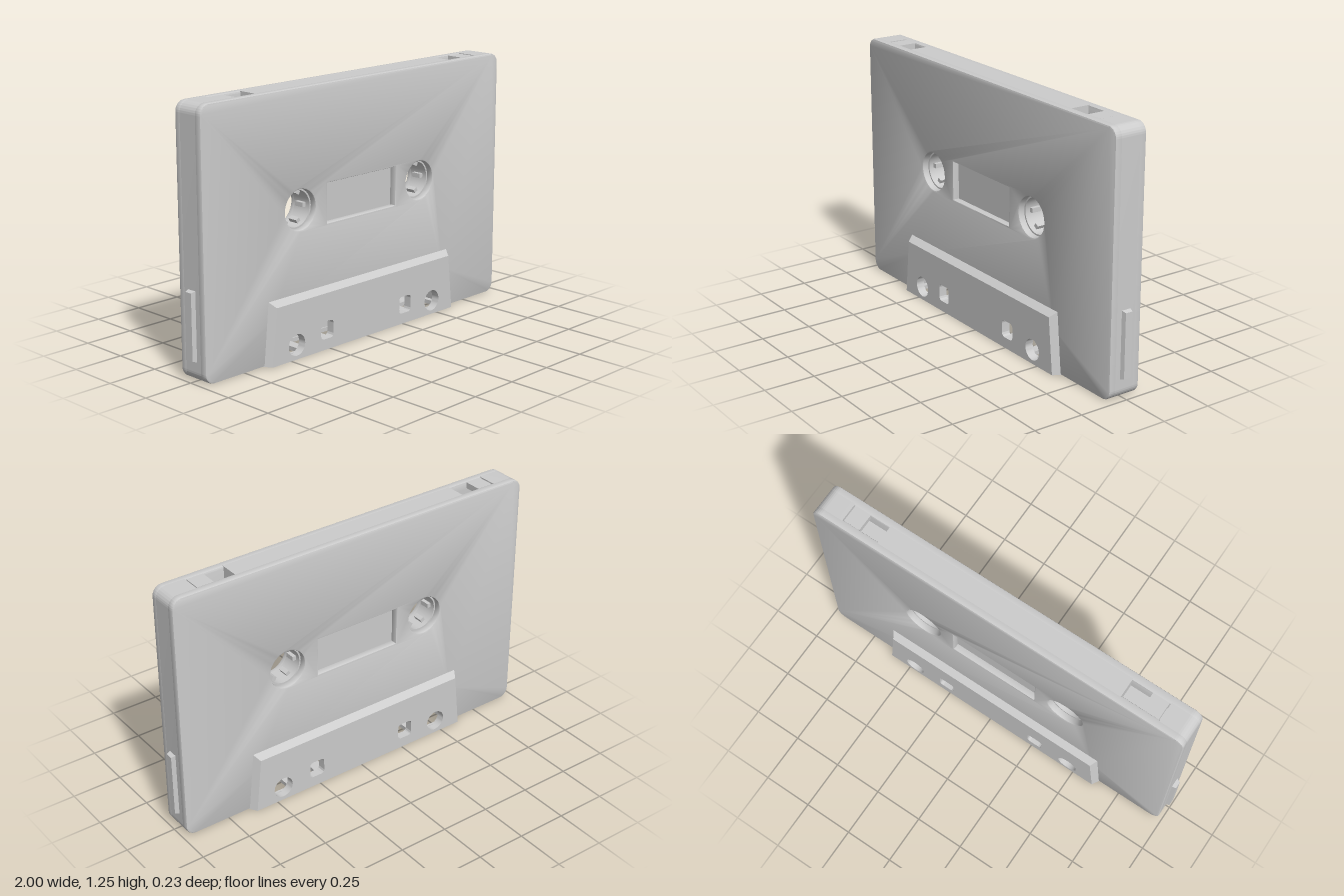
import * as THREE from 'three';
import { toCreasedNormals } from 'three/addons/utils/BufferGeometryUtils.js';

const W = 0.98, H = 1.25, HUB = { x: 0.4, y: 0.69, r: 0.095 };
const material = new THREE.MeshStandardMaterial({ color: 0xcccccc, side: THREE.DoubleSide });

function addMesh(parent, name, geometry, x = 0, y = 0, z = 0) {
  const mesh = new THREE.Mesh(geometry, material);
  mesh.name = name;
  mesh.position.set(x, y, z);
  parent.add(mesh);
  return mesh;
}

function circle(x, y, r) {
  return new THREE.Path().absarc(x, y, r, 0, Math.PI * 2, true);
}

function rect(x0, y0, x1, y1, r = 0) {
  const p = new THREE.Path();
  if (!r) return p.setFromPoints([[x0, y0], [x0, y1], [x1, y1], [x1, y0]].map(a => new THREE.Vector2(...a)));
  p.absarc(x0 + r, y0 + r, r, -Math.PI / 2, Math.PI, true);
  p.absarc(x0 + r, y1 - r, r, Math.PI, Math.PI / 2, true);
  p.absarc(x1 - r, y1 - r, r, Math.PI / 2, 0, true);
  p.absarc(x1 - r, y0 + r, r, 0, -Math.PI / 2, true);
  p.closePath();
  return p;
}

// Rounded cassette outline, notched below for the tape opening and optionally above for the tab pits
function outline(topPits) {
  const s = new THREE.Shape(), r = 0.05;
  s.moveTo(-W + r, 0);
  for (const [x, y] of [[-0.6, 0], [-0.57, 0.2], [0.57, 0.2], [0.6, 0]]) s.lineTo(x, y);
  s.absarc(W - r, r, r, -Math.PI / 2, 0, false);
  s.absarc(W - r, H - r, r, 0, Math.PI / 2, false);
  if (topPits) {
    for (const [a, b] of [[0.835, 0.64], [-0.64, -0.835]]) {
      s.lineTo(a, H); s.lineTo(a, H - 0.07); s.lineTo(b, H - 0.07); s.lineTo(b, H);
    }
  }
  s.absarc(-W + r, H - r, r, Math.PI / 2, Math.PI, false);
  s.absarc(-W + r, r, r, Math.PI, Math.PI * 1.5, false);
  for (const sx of [-1, 1]) s.holes.push(circle(sx * HUB.x, HUB.y, HUB.r));
  return s;
}

function extrude(shape, depth, options = {}) {
  const g = new THREE.ExtrudeGeometry(shape, { depth, bevelEnabled: false, curveSegments: 16, ...options });
  return toCreasedNormals(g, 0.6);
}

// Thick lower panel with its front narrowed on the sides and top
function lowerPanelGeometry() {
  const s = new THREE.Shape([[-0.64, 0], [0.64, 0], [0.61, 0.305], [-0.61, 0.305]].map(a => new THREE.Vector2(...a)));
  for (const sx of [-1, 1]) {
    s.holes.push(circle(sx * 0.463, 0.07, 0.052));
    s.holes.push(rect(sx * 0.267 - 0.041, 0.053, sx * 0.267 + 0.041, 0.138, 0.018));
  }
  const depth = 0.042;
  const g = new THREE.ExtrudeGeometry(s, { depth, bevelEnabled: false, curveSegments: 16 });
  const p = g.attributes.position;
  for (let i = 0; i < p.count; i++) {
    if (p.getZ(i) < depth / 2) continue;
    if (Math.abs(p.getX(i)) > 0.58) p.setX(i, p.getX(i) * 0.96);
    if (p.getY(i) > 0.25) p.setY(i, p.getY(i) - 0.03);
  }
  return toCreasedNormals(g, 0.5);
}

export function createModel() {
  const model = new THREE.Group();
  model.name = 'cassette';

  // Middle layer, which also forms the window floors
  addMesh(model, 'core', extrude(outline(true), 0.1), 0, 0, -0.05);

  // Front and back halves
  const plate = outline(false);
  plate.holes.push(rect(-0.228, 0.595, 0.228, 0.785));
  const plateGeometry = extrude(plate, 0.025, {
    bevelEnabled: true, bevelThickness: 0.008, bevelSize: 0.008, bevelOffset: -0.008, bevelSegments: 2,
  });
  const panelGeometry = lowerPanelGeometry();
  ['front', 'back'].forEach((side, i) => {
    const half = new THREE.Group();
    half.name = side + 'Half';
    half.rotation.y = i * Math.PI;
    addMesh(half, 'facePlate', plateGeometry, 0, 0, 0.05);
    addMesh(half, 'lowerPanel', panelGeometry, 0, 0, 0.075);
    model.add(half);
  });

  // Bottom strip with tape openings
  const strip = new THREE.Shape([[-0.62, -0.08], [0.62, -0.08], [0.62, 0.08], [-0.62, 0.08]].map(a => new THREE.Vector2(...a)));
  for (const [a, b] of [[-0.57, -0.4], [-0.35, -0.23], [-0.17, 0.17], [0.23, 0.35], [0.4, 0.57]]) {
    strip.holes.push(rect(a, -0.068, b, 0.068, 0.012));
  }
  addMesh(model, 'bottomStrip', extrude(strip, 0.02), 0, 0.021, 0).rotation.x = Math.PI / 2;
  addMesh(model, 'pressurePad', new THREE.BoxGeometry(0.1, 0.03, 0.06), 0, 0.09, 0);
  addMesh(model, 'padSpring', new THREE.BoxGeometry(0.34, 0.01, 0.05), 0, 0.11, 0);

  // Hubs with six drive teeth
  const ring = new THREE.Shape().absarc(0, 0, HUB.r + 0.002, 0, Math.PI * 2, false);
  ring.holes.push(circle(0, 0, 0.087));
  const ringGeometry = extrude(ring, 0.1);
  const toothGeometry = new THREE.BoxGeometry(0.024, 0.022, 0.05);
  for (const sx of [-1, 1]) {
    const hub = new THREE.Group();
    hub.name = sx > 0 ? 'leftHub' : 'rightHub';
    hub.position.set(sx * HUB.x, HUB.y, 0);
    addMesh(hub, 'hubRing', ringGeometry, 0, 0, -0.05);
    for (let i = 0; i < 6; i++) {
      const a = i * Math.PI / 3;
      addMesh(hub, 'hubTooth', toothGeometry, 0.079 * Math.cos(a), 0.079 * Math.sin(a), 0).rotation.z = a;
    }
    model.add(hub);
  }

  // Tapered side grips and top tabs
  const grip = new THREE.BoxGeometry(0.04, 0.34, 0.06);
  const gp = grip.attributes.position;
  for (let i = 0; i < gp.count; i++) {
    if (gp.getX(i) > 0) gp.setXYZ(i, gp.getX(i), gp.getY(i) * 0.92, gp.getZ(i) * 0.6);
  }
  grip.computeVertexNormals();
  for (const sx of [-1, 1]) {
    const side = sx > 0 ? 'left' : 'right';
    addMesh(model, side + 'Grip', grip, sx * 0.98, 0.26, 0).rotation.y = sx > 0 ? 0 : Math.PI;
    addMesh(model, side + 'TopTab', new THREE.BoxGeometry(0.084, 0.03, 0.094), sx * 0.787, H - 0.017, 0.003);
  }
  return model;
}
